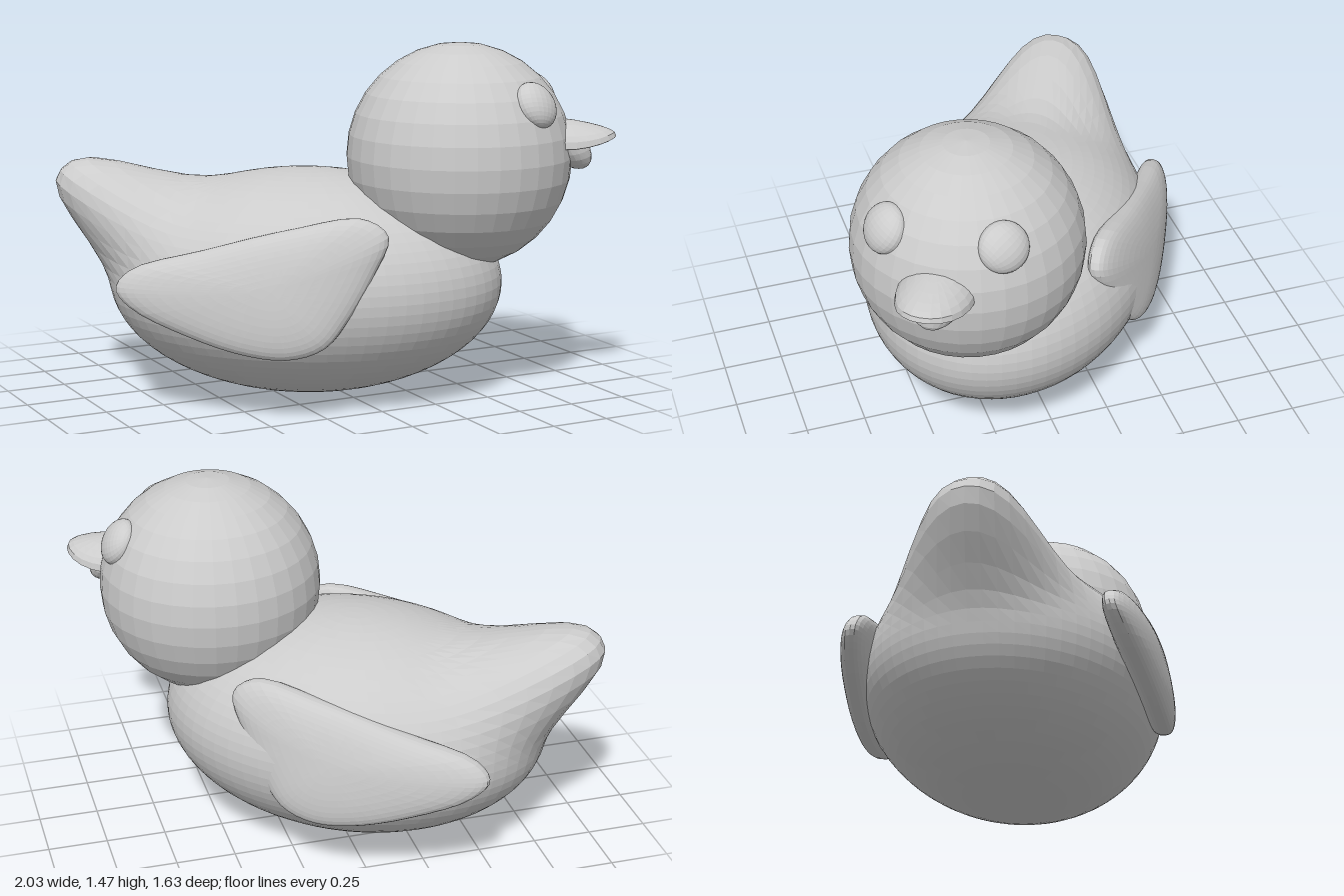
import * as THREE from 'three';

const material = new THREE.MeshStandardMaterial({ color: 0xcccccc, flatShading: true });

// Signed power, used to make rounded sections fuller
const full = (v, power) => Math.sign(v) * Math.abs(v) ** power;

// Unit sphere whose vertices are moved by a rule (x, y, z) => [x, y, z]
function mouldedSphere(name, cols, rows, rule, poleAlongZ = false) {
  const geo = new THREE.SphereGeometry(1, cols, rows);
  if (poleAlongZ) geo.rotateX(Math.PI / 2);
  const pos = geo.attributes.position;
  for (let i = 0; i < pos.count; i++) {
    pos.setXYZ(i, ...rule(pos.getX(i), pos.getY(i), pos.getZ(i)));
  }
  geo.computeVertexNormals();
  const mesh = new THREE.Mesh(geo, material);
  mesh.name = name;
  return mesh;
}

// Ellipsoid body with the upper rear pulled out into a rounded tail
const tailDirection = new THREE.Vector3(-Math.cos(0.54), Math.sin(0.54), 0);
function bodyRule(x, y, z) {
  const rise = Math.atan2(y, -x) - 0.54;
  const facing = x * tailDirection.x + y * tailDirection.y;
  const q = (rise / 0.36) ** 2 + (Math.asin(THREE.MathUtils.clamp(z, -1, 1)) / 0.48) ** 2;
  const pull = facing > 0 ? Math.exp(-(q ** 1.4)) : 0;
  return [
    -0.084 + 0.825 * x - 0.31 * pull,
    0.47 + 0.47 * y + 0.225 * pull,
    0.608 * z + 0.045 * pull,
  ];
}

// Wing outline, seen from the side (x forward, y up)
const wingOutline = new THREE.CatmullRomCurve3([
  [0.3, 0.74], [0.2, 0.81], [-0.08, 0.77], [-0.44, 0.68], [-0.73, 0.595],
  [-0.79, 0.52], [-0.73, 0.45], [-0.5, 0.35], [-0.26, 0.28], [-0.08, 0.265],
  [0.06, 0.31], [0.15, 0.42], [0.25, 0.6],
].map(([x, y]) => new THREE.Vector3(x, y, 0)), true);

// Padded wing, bowed around the body and leaning in at the top
function wing(name, side) {
  const centre = new THREE.Vector3(-0.15, 0.54, 0);
  return mouldedSphere(name, 48, 24, (x, y, z) => {
    const u = (Math.atan2(y, x) / (2 * Math.PI) + 1) % 1;
    const p = wingOutline.getPoint(u).sub(centre).multiplyScalar(Math.hypot(x, y)).add(centre);
    const bow = 0.555 - 0.04 * ((p.x + 0.23) / 0.55) ** 2 - 0.2 * (p.y - 0.5);
    return [p.x, p.y, 0.085 * full(z, 0.75) + side * bow + 0.015];
  }, true);
}

export function createModel() {
  const root = new THREE.Group();
  root.name = 'duck';

  // Everything is built facing +x, then turned to its heading
  const duck = new THREE.Group();
  duck.name = 'turnedDuck';
  duck.position.set(-0.024, 0, 0.038);
  duck.rotation.y = -0.57;
  root.add(duck);

  duck.add(mouldedSphere('body', 64, 36, bodyRule));

  const headCentre = new THREE.Vector3(0.556, 1.003, 0);
  const head = new THREE.Mesh(new THREE.SphereGeometry(0.467, 32, 16), material);
  head.name = 'head';
  head.position.copy(headCentre);
  duck.add(head);

  for (const [label, side] of [['right', 1], ['left', -1]]) {
    duck.add(wing(label + 'Wing', side));

    // Flattened eye lying on the surface of the head
    const out = new THREE.Vector3(0.311, 0.235, 0.23 * side).normalize();
    const eye = new THREE.Mesh(new THREE.SphereGeometry(1, 24, 16), material);
    eye.name = label + 'Eye';
    eye.scale.set(0.1, 0.1, 0.06);
    eye.position.copy(headCentre).addScaledVector(out, 0.455);
    eye.quaternion.setFromUnitVectors(new THREE.Vector3(0, 0, 1), out);
    duck.add(eye);
  }

  // Upper bill: arched at the head, thin and broad at the tip
  duck.add(mouldedSphere('upperBill', 24, 12, (x, y, z) => [
    0.98 + 0.22 * x,
    1.09 + (y > 0 ? 0.07 * full(y, 0.7) * (1 - 0.35 * x) : 0.02 * y) - 0.04 * z * z,
    0.152 * z,
  ]));

  // Lower bill: scoop hanging below, leaning forward and narrowing downward
  duck.add(mouldedSphere('lowerBill', 24, 12, (x, y, z) => [
    0.98 + 0.1 * x - 0.07 * Math.min(y, 0),
    1.07 + (y > 0 ? 0.015 : 0.118) * y - 0.02 * z * z,
    0.125 * z * (1 + 0.3 * Math.min(y, 0)),
  ]));

  return root;
}
